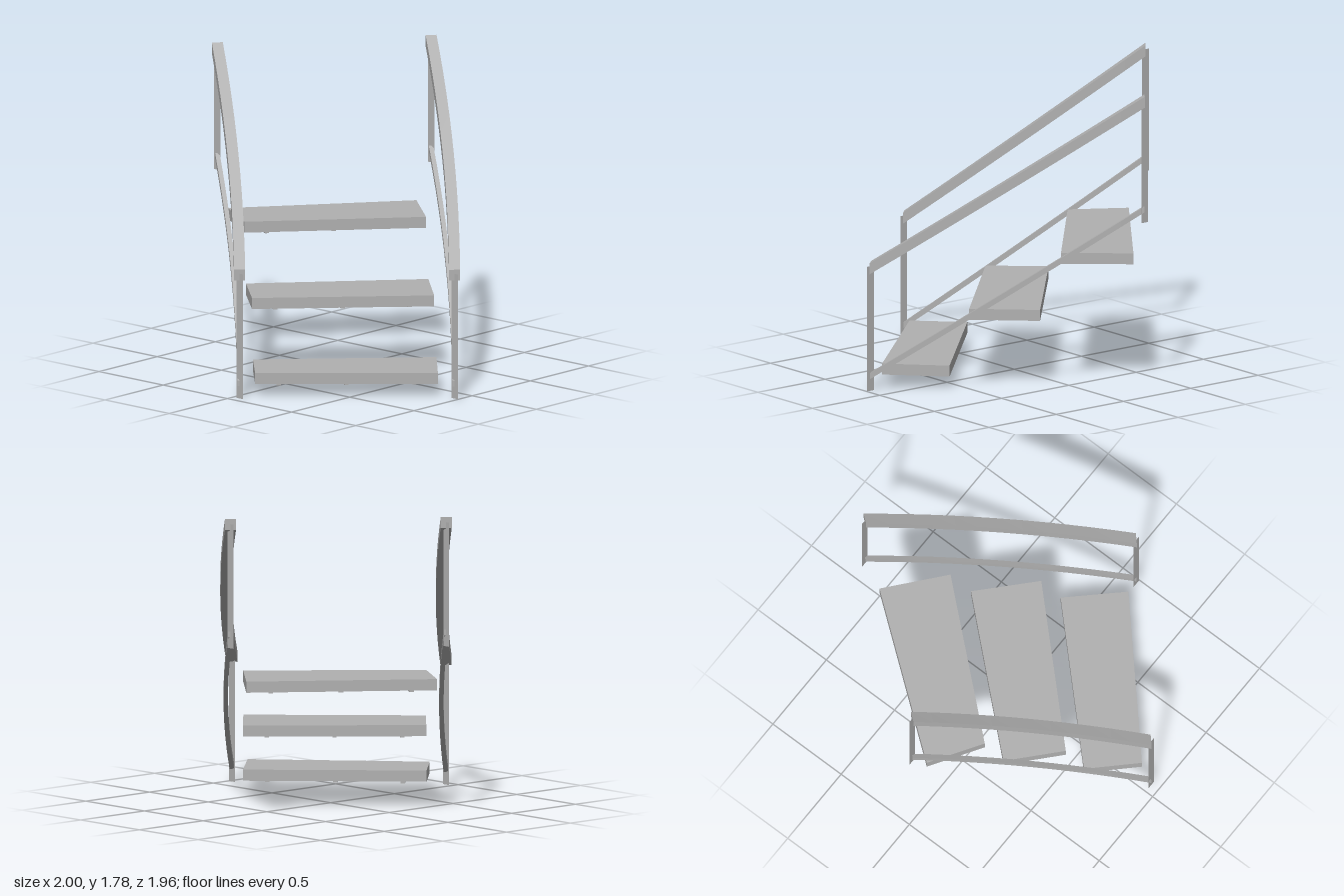
import * as THREE from 'three';

const grey = new THREE.MeshStandardMaterial({ color: 0xb0b0b0 });
grey.name = 'grey';
const greySheet = new THREE.MeshStandardMaterial({ color: 0xb0b0b0, side: THREE.DoubleSide });
greySheet.name = 'grey sheet';

// Sweeps an upright rectangle along a curve, with vertical end cuts
function sweepBar(curve, width, height, steps) {
  const up = new THREE.Vector3(0, height / 2, 0);
  const rings = [];
  for (let i = 0; i <= steps; i++) {
    const p = curve.getPoint(i / steps);
    const t = curve.getTangent(i / steps);
    const s = new THREE.Vector3(-t.z, 0, t.x).setLength(width / 2);
    rings.push([[1, 1], [-1, 1], [-1, -1], [1, -1]].map(([u, v]) =>
      p.clone().addScaledVector(up, u).addScaledVector(s, v)));
  }
  const points = [];
  const quad = (a, b, c, d) => points.push(a, b, c, a, c, d);
  for (let i = 0; i < steps; i++) {
    for (let j = 0; j < 4; j++) {
      const k = (j + 1) % 4;
      quad(rings[i][j], rings[i][k], rings[i + 1][k], rings[i + 1][j]);
    }
  }
  const [a, b, c, d] = rings[0];
  quad(d, c, b, a);
  quad(...rings[steps]);
  const geometry = new THREE.BufferGeometry().setFromPoints(points);
  geometry.computeVertexNormals();
  return geometry;
}

// Gently bowed path from the upper end to the lower end, given as [x, z]
function railCurve(top, bottom, yTop, yBottom, bow) {
  const start = new THREE.Vector3(top[0], yTop, top[1]);
  const end = new THREE.Vector3(bottom[0], yBottom, bottom[1]);
  const outward = new THREE.Vector3(end.z - start.z, 0, start.x - end.x).normalize();
  const control = start.clone().lerp(end, 0.5).addScaledVector(outward, 2 * bow);
  return new THREE.QuadraticBezierCurve3(start, control, end);
}

function addMesh(parent, name, geometry, material = grey) {
  const mesh = new THREE.Mesh(geometry, material);
  mesh.name = name;
  parent.add(mesh);
  return mesh;
}

function makeRailing(name, top, bottom, bow) {
  const railing = new THREE.Group();
  railing.name = name;
  addMesh(railing, 'handrail', sweepBar(railCurve(top, bottom, 1.748, 0.732, bow), 0.064, 0.065, 12));
  addMesh(railing, 'lowerRail', sweepBar(railCurve(top, bottom, 1.107, 0.09, bow), 0.026, 0.035, 12));
  // Flat sheet posts at both ends
  for (const [label, [x, z], y0, y1] of [['upperPost', top, 1.025, 1.75], ['lowerPost', bottom, 0, 0.74]]) {
    addMesh(railing, label, new THREE.PlaneGeometry(0.05, y1 - y0), greySheet)
      .position.set(x, (y0 + y1) / 2, z);
  }
  return railing;
}

// Corners run: back right, front right, front left, back left, as [x, z]
function makeTread(corners, yBottom) {
  const tread = new THREE.Group();
  tread.name = 'tread';
  const shape = new THREE.Shape(corners.map(([x, z]) => new THREE.Vector2(x, -z)));
  const board = new THREE.ExtrudeGeometry(shape, { depth: 0.065, bevelEnabled: false });
  board.rotateX(-Math.PI / 2);
  addMesh(tread, 'treadBoard', board).position.y = yBottom;

  // Three thin battens under the board
  const [br, fr, fl, bl] = corners.map(([x, z]) => new THREE.Vector2(x, z));
  for (const f of [0.13, 0.5, 0.87]) {
    const back = bl.clone().lerp(br, f);
    const front = fl.clone().lerp(fr, f);
    const batten = addMesh(tread, 'batten', new THREE.BoxGeometry(0.32, 0.012, 0.025));
    batten.position.set((back.x + front.x) / 2, yBottom - 0.006, (back.y + front.y) / 2);
    batten.rotation.y = -Math.atan2(front.y - back.y, front.x - back.x);
  }
  return tread;
}

export function createModel() {
  const model = new THREE.Group();
  model.name = 'curvedStairs';

  model.add(makeRailing('innerRailing', [-0.98, 0.005], [0.05, 0.95], 0.027));
  model.add(makeRailing('outerRailing', [-0.19, -0.96], [0.972, 0.12], 0.031));

  // Slightly wedge-shaped treads, lowest first
  model.add(makeTread([[0.595, -0.14], [0.865, 0.145], [0.085, 0.855], [-0.15, 0.615]], 0.075));
  model.add(makeTread([[0.21, -0.495], [0.51, -0.215], [-0.225, 0.54], [-0.495, 0.295]], 0.414));
  model.add(makeTread([[-0.2, -0.845], [0.12, -0.575], [-0.575, 0.22], [-0.875, 0.03]], 0.754));
  return model;
}
